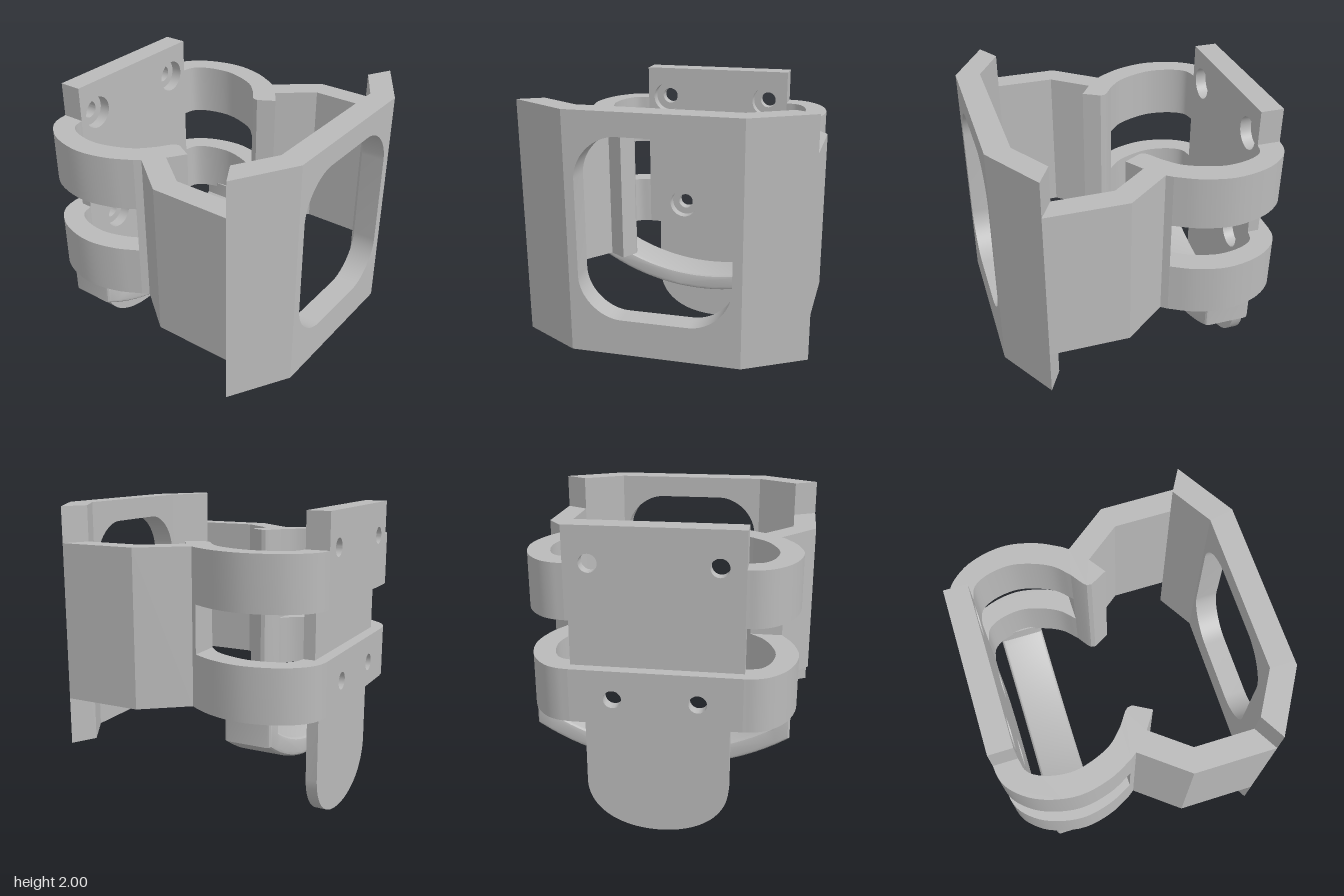
import * as THREE from 'three';
import { toCreasedNormals } from 'three/addons/utils/BufferGeometryUtils.js';

const V = (x, y) => new THREE.Vector2(x, y);

export function createModel() {
  const group = new THREE.Group();
  const grey = new THREE.MeshStandardMaterial({ color: 0xbababa });

  const add = (name, geometry) => {
    const mesh = new THREE.Mesh(toCreasedNormals(geometry, 0.5), grey);
    mesh.name = name;
    group.add(mesh);
  };

  // Plan outline given as [x, z], raised from y0 to y1
  const upright = (name, plan, y0, y1) => {
    const shape = new THREE.Shape(plan.map(([x, z]) => V(x, -z)));
    const geo = new THREE.ExtrudeGeometry(shape, { depth: y1 - y0, bevelEnabled: false });
    add(name, geo.rotateX(-Math.PI / 2).translate(0, y0, 0));
  };

  // Front outline (x, y), thick from z0 to z1
  const plate = (name, shape, z0, z1) => {
    const geo = new THREE.ExtrudeGeometry(shape, { depth: z1 - z0, bevelEnabled: false, curveSegments: 20 });
    add(name, geo.translate(0, 0, z0));
  };

  const rect = (w, y0, y1) => new THREE.Shape([V(-w, y0), V(w, y0), V(w, y1), V(-w, y1)]);

  const drill = (shape, spots, r) => {
    for (const [x, y] of spots) for (const s of [-1, 1])
      shape.holes.push(new THREE.Path().absarc(s * x, y, r, 0, Math.PI * 2, true));
    return shape;
  };

  // Front panel with a rounded window
  const panel = rect(0.51, 0.47, 2);
  const w = 0.48, b = 0.705, t = 1.855, rx = 0.27, ry = 0.27, k = 0.13;
  const win = new THREE.Path();
  win.moveTo(-w + rx, b);
  win.lineTo(w - rx, b);
  win.bezierCurveTo(w - k, b, w, b + k, w, b + ry);
  win.lineTo(w, t - ry);
  win.bezierCurveTo(w, t - k, w - k, t, w - rx, t);
  win.lineTo(-w + rx, t);
  win.bezierCurveTo(-w + k, t, -w, t - k, -w, t - ry);
  win.lineTo(-w, b + ry);
  win.bezierCurveTo(-w, b + k, -w + k, b, -w + rx, b);
  panel.holes.push(win);
  plate('frontPanel', panel, 0.76, 0.915);

  // Clip ring curves, from the slot edge round to the back plate
  const spline = (pts) => new THREE.CatmullRomCurve3(pts.map(([x, z]) => new THREE.Vector3(x, 0, z)))
    .getPoints(28).map((p) => [p.x, p.z]);
  const outer = spline([[0.73, -0.14], [0.805, -0.29], [0.845, -0.5], [0.79, -0.73], [0.69, -0.86], [0.61, -0.903], [0.53, -0.915]]);
  const inner = spline([[0.52, -0.14], [0.61, -0.23], [0.675, -0.37], [0.7, -0.5], [0.67, -0.66], [0.615, -0.74], [0.53, -0.765]]);
  const band = [...outer, ...inner.reverse()];

  // Side wall ending in the inward lip
  const wall = [[0.92, 0.69], [0.92, 0.18], [0.7, -0.1], [0.73, -0.14], [0.52, -0.14], [0.44, -0.085],
    [0.422, -0.065], [0.418, -0.035], [0.48, 0.075], [0.59, 0], [0.77, 0.23], [0.77, 0.605]];
  const wing = [[0.51, 0.76], [0.51, 0.915], [0.54, 0.915], [0.92, 0.69], [0.77, 0.605]];

  for (const [side, s] of [['left', 1], ['right', -1]]) {
    const flip = (plan) => plan.map(([x, z]) => [s * x, z]);
    upright(side + 'PanelWing', flip(wing), 0.47, 2);
    upright(side + 'Wall', flip(wall), 0.775, 1.775);
    upright(side + 'LowerBand', flip(band), 0.775, 1.12);
    upright(side + 'UpperBand', flip(band), 1.43, 1.775);
  }

  // Back plate: counterbored front layer, then two outer strips with a groove between
  const upperHoles = [[0.38, 1.78]], lowerHoles = [[0.26, 0.937]];
  plate('backPlate', drill(rect(0.53, 0.775, 2), [...upperHoles, ...lowerHoles], 0.107), -0.84, -0.765);
  plate('upperBackStrip', drill(rect(0.53, 1.43, 2), upperHoles, 0.056), -0.915, -0.84);
  plate('lowerBackStrip', drill(rect(0.53, 0.775, 1.12), lowerHoles, 0.056), -0.915, -0.84);

  // Rounded tongue hanging below the back plate
  const tongue = new THREE.Shape();
  tongue.moveTo(-0.45, 0.775);
  tongue.lineTo(-0.45, 0.32);
  tongue.bezierCurveTo(-0.44, 0.12, -0.25, 0, 0, 0);
  tongue.bezierCurveTo(0.25, 0, 0.44, 0.12, 0.45, 0.32);
  tongue.lineTo(0.45, 0.775);
  plate('tongue', tongue, -0.84, -0.765);

  // Curved strap slung under the ring, with softened edges
  const bevel = 0.025;
  const arc = (half, bottom, r) => Array.from({ length: 25 }, (_, i) => {
    const x = half * (i / 12 - 1);
    return V(x, bottom + r - Math.sqrt(r * r - x * x));
  });
  const ho = 0.81 - bevel, hi = 0.69 + bevel;
  const strap = new THREE.Shape([V(-ho, 0.78), ...arc(ho, 0.39 + bevel, 1.48 - bevel), V(ho, 0.78),
    V(hi, 0.78), ...arc(hi, 0.51 - bevel, 1.36 + bevel).reverse(), V(-hi, 0.78)]);
  const strapGeo = new THREE.ExtrudeGeometry(strap, {
    depth: 0.31 - 2 * bevel, bevelSize: bevel, bevelThickness: bevel, bevelSegments: 3,
  });
  add('underStrap', strapGeo.translate(0, 0, -0.685 + bevel));

  return group;
}
